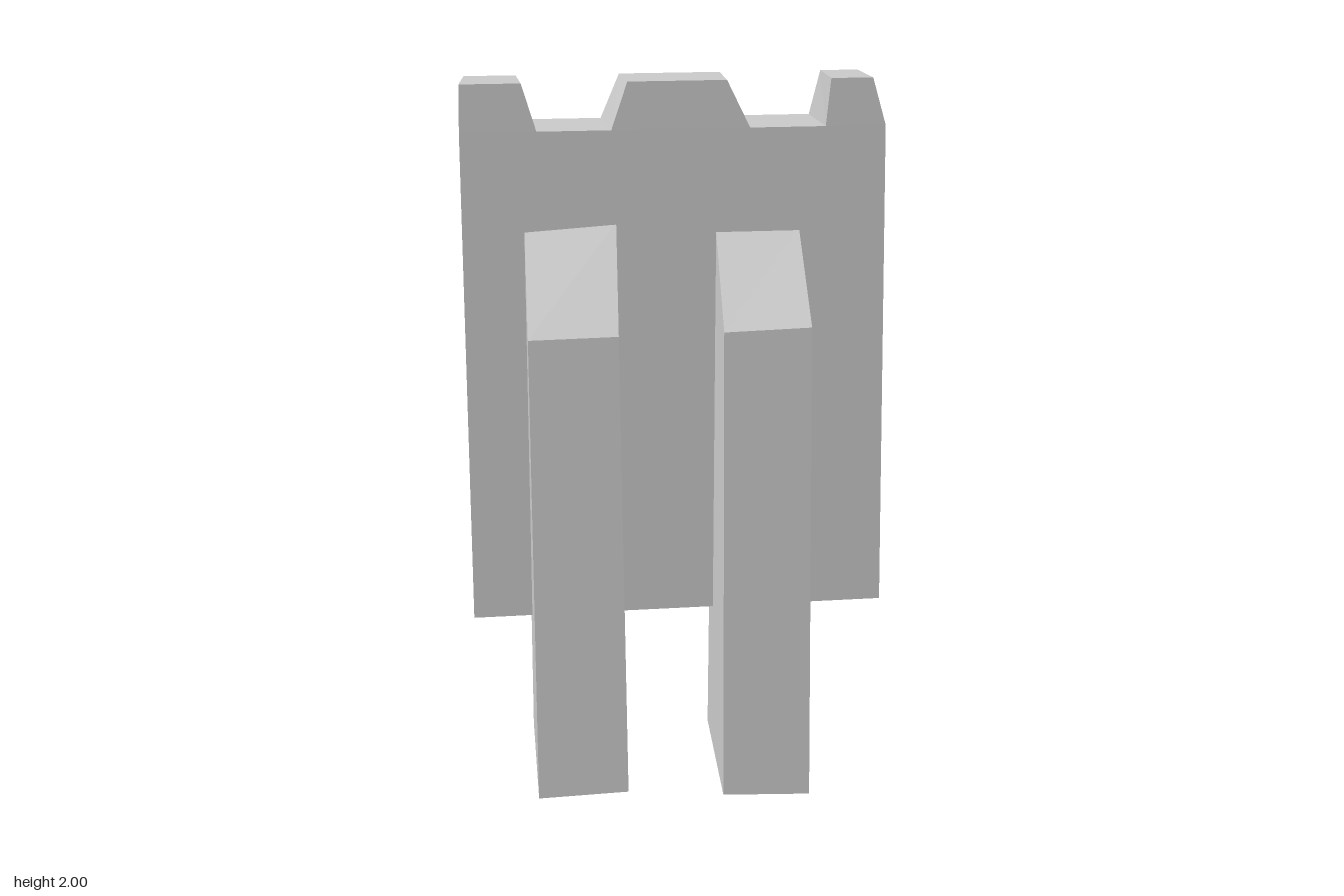
import * as THREE from 'three';

const material = new THREE.MeshStandardMaterial({ color: 0xcccccc, flatShading: true });

// Each section row is [z, y, xLeftEnd, xRightEnd]; optional 5th value is y at the -x end.
// Rows run front-bottom, back-bottom, upwards, and back to the front.
function slab(name, rows) {
  const neg = rows.map(([z, y, a, , yNeg = y]) => [a, yNeg, z]);
  const pos = rows.map(([z, y, , b]) => [b, y, z]);
  const out = [];
  const tri = (a, b, c) => out.push(...a, ...b, ...c);
  rows.forEach((_, i) => {
    const j = (i + 1) % rows.length;
    tri(pos[i], neg[i], neg[j]);
    tri(pos[i], neg[j], pos[j]);
  });
  // End caps
  const outline = rows.map(([z, y]) => new THREE.Vector2(-z, y));
  for (const [a, b, c] of THREE.ShapeUtils.triangulateShape(outline, [])) {
    tri(pos[a], pos[b], pos[c]);
    tri(neg[c], neg[b], neg[a]);
  }
  const geometry = new THREE.BufferGeometry();
  geometry.setAttribute('position', new THREE.Float32BufferAttribute(out, 3));
  geometry.computeVertexNormals();
  const mesh = new THREE.Mesh(geometry, material);
  mesh.name = name;
  return mesh;
}

// Tapered block on top of the parapet: [xMin, xMax] for base and top, front and back
function merlon(name, baseFront, baseBack, topBack, topFront) {
  return slab(name, [
    [-0.018, 1.867, ...baseFront],
    [-0.205, 1.867, ...baseBack],
    [-0.16, 2.0, ...topBack],
    [-0.025, 2.0, ...topFront],
  ]);
}

export function createModel() {
  const group = new THREE.Group();

  // Leaning wall slab with a stepped ledge behind the parapet
  group.add(slab('wall', [
    [0.04, 0.45, -0.605, 0.602, 0.44],
    [-0.345, 0.435, -0.575, 0.53, 0.445],
    [-0.398, 1.715, -0.568, 0.52],
    [-0.205, 1.73, -0.585, 0.553],
    [-0.205, 1.867, -0.586, 0.553],
    [-0.018, 1.867, -0.603, 0.588],
  ]));

  // Battlements
  group.add(merlon('rightMerlon', [-0.603, -0.39], [-0.586, -0.405], [-0.585, -0.44], [-0.6, -0.43]));
  group.add(merlon('middleMerlon', [-0.183, 0.205], [-0.2, 0.195], [-0.15, 0.135], [-0.137, 0.14]));
  group.add(merlon('leftMerlon', [0.418, 0.588], [0.4, 0.553], [0.423, 0.53], [0.432, 0.55]));

  // Buttress legs with sloping tops
  group.add(slab('rightButtress', [
    [0.4, 0.038, -0.438, -0.182, 0.03],
    [-0.07, 0.045, -0.435, -0.162, 0.035],
    [-0.07, 1.5, -0.43, -0.168],
    [-0.015, 1.608, -0.43, -0.172, 1.592],
    [0.29, 1.362, -0.436, -0.19, 1.358],
  ]));
  group.add(slab('leftButtress', [
    [0.395, 0.0, 0.092, 0.342, 0.01],
    [-0.07, 0.012, 0.1, 0.353, 0.015],
    [-0.07, 1.5, 0.11, 0.348],
    [-0.015, 1.58, 0.11, 0.347],
    [0.288, 1.372, 0.098, 0.34, 1.365],
  ]));

  return group;
}
